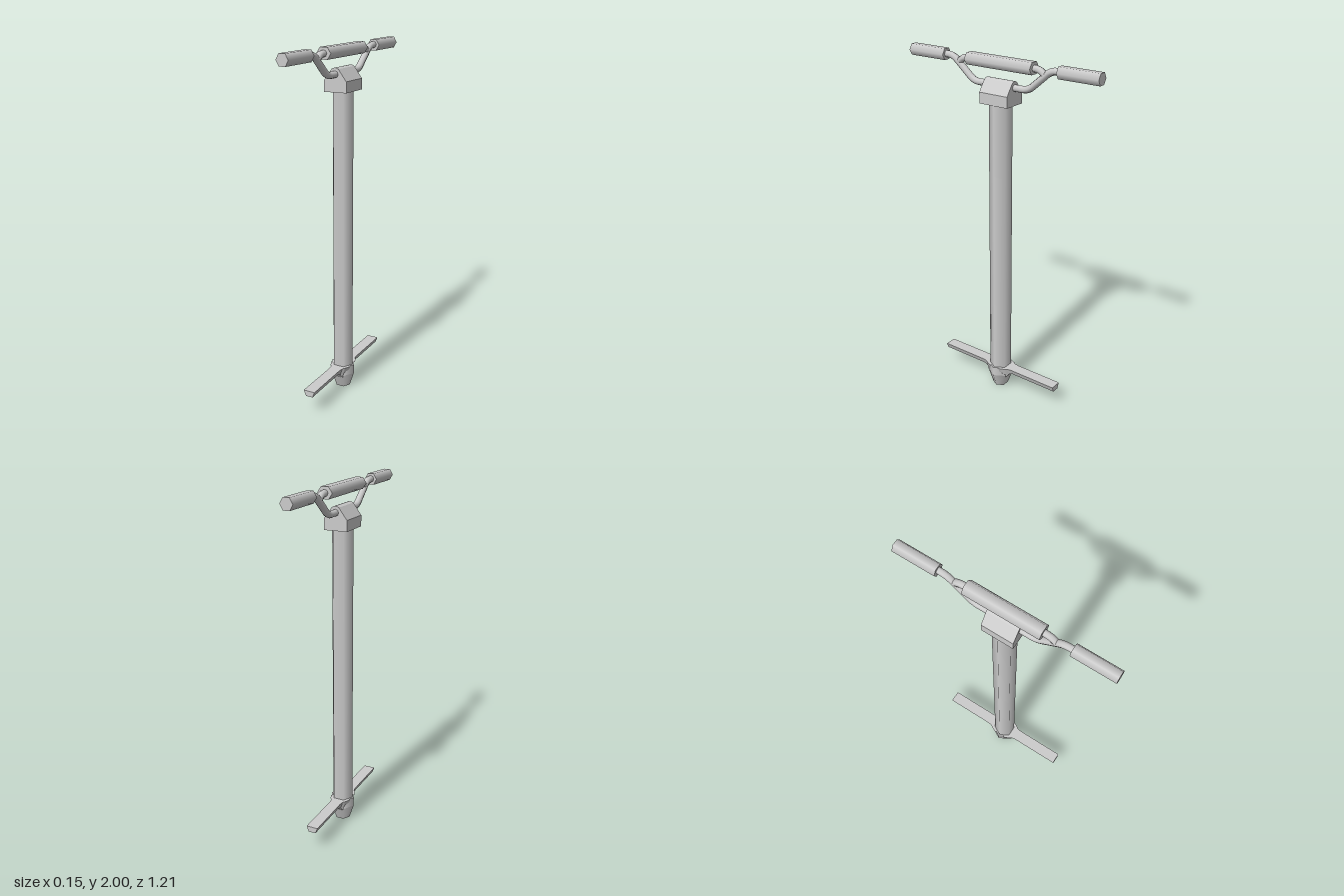
import * as THREE from 'three';

export function createModel() {
  const model = new THREE.Group();
  const material = new THREE.MeshStandardMaterial({ color: 0xcccccc });
  const flat = new THREE.MeshStandardMaterial({ color: 0xcccccc, flatShading: true });

  function add(name, geometry, mat = material) {
    const mesh = new THREE.Mesh(geometry, mat);
    mesh.name = name;
    model.add(mesh);
    return mesh;
  }

  // Six-sided prism with corners on +x and -x
  const hex = (top, bottom, height) =>
    new THREE.CylinderGeometry(top, bottom, height, 6, 1, false, Math.PI / 6);

  // Tube through [z, y] points with rounded corners
  function bentTube(points, radius, bend, segments) {
    const v = points.map(([z, y]) => new THREE.Vector3(0, y, z));
    const path = new THREE.CurvePath();
    let from = v[0];
    for (let i = 1; i < v.length - 1; i++) {
      const a = v[i].clone().add(v[i - 1].clone().sub(v[i]).setLength(bend));
      const b = v[i].clone().add(v[i + 1].clone().sub(v[i]).setLength(bend));
      path.add(new THREE.LineCurve3(from, a));
      path.add(new THREE.QuadraticBezierCurve3(a, v[i], b));
      from = b;
    }
    path.add(new THREE.LineCurve3(from, v[v.length - 1]));
    return new THREE.TubeGeometry(path, segments, radius, 8);
  }

  // Loft of trapezoid sections: [z, bottom y, top half width, bottom half width]
  function pegGeometry(sections, topY) {
    const positions = [], index = [];
    for (const [z, y, wt, wb] of sections) {
      positions.push(wt, topY, z, -wt, topY, z, -wb, y, z, wb, y, z);
    }
    for (let i = 0; i < sections.length - 1; i++) {
      for (let j = 0; j < 4; j++) {
        const a = i * 4 + j, b = i * 4 + (j + 1) % 4;
        index.push(a, b, b + 4, a, b + 4, a + 4);
      }
    }
    const e = (sections.length - 1) * 4;
    index.push(e, e + 1, e + 2, e, e + 2, e + 3);
    const g = new THREE.BufferGeometry();
    g.setAttribute('position', new THREE.Float32BufferAttribute(positions, 3));
    g.setIndex(index);
    g.computeVertexNormals();
    return g;
  }

  // Shaft
  add('shaft', hex(0.063, 0.063, 1.66)).position.y = 0.94;

  // Tapered foot and its collar
  add('foot', hex(0.073, 0.045, 0.085)).position.y = 0.0425;
  add('footCollar', hex(0.073, 0.073, 0.055)).position.y = 0.1115;

  // Foot pegs, flaring into the collar
  const peg = pegGeometry([
    [0.03, 0.05, 0.065, 0.03], [0.068, 0.078, 0.048, 0.03], [0.08, 0.097, 0.038, 0.024],
    [0.105, 0.106, 0.034, 0.021], [0.4, 0.106, 0.034, 0.021],
  ], 0.139);
  add('frontPeg', peg, flat);
  add('backPeg', peg, flat).rotation.y = Math.PI;

  // Clamp with sloping shoulders and a rounded ridge
  const profile = new THREE.Shape();
  profile.moveTo(-0.067, 1.755);
  profile.lineTo(0.067, 1.755);
  profile.lineTo(0.067, 1.815);
  profile.lineTo(0.02, 1.878);
  profile.quadraticCurveTo(0, 1.892, -0.02, 1.878);
  profile.lineTo(-0.067, 1.815);
  const clamp = new THREE.ExtrudeGeometry(profile, { depth: 0.18, bevelEnabled: false, curveSegments: 4 });
  clamp.translate(0, 0, -0.09);
  add('clamp', clamp);

  // Handlebar and crossbar
  add('handlebar', bentTube([
    [-0.4, 1.97], [-0.315, 1.97], [-0.175, 1.85], [0.175, 1.85], [0.315, 1.97], [0.4, 1.97],
  ], 0.019, 0.035, 80));
  add('crossbar', bentTube([
    [-0.28, 1.937], [-0.245, 1.967], [0.245, 1.967], [0.28, 1.937],
  ], 0.019, 0.025, 60));

  // Crossbar pad
  const pad = hex(0.0425, 0.0425, 0.42).rotateX(Math.PI / 2).scale(1, 0.86, 1);
  add('crossbarPad', pad).position.y = 1.968;

  // Grips
  for (const side of [1, -1]) {
    const grip = hex(0.0355, 0.0355, 0.24).rotateX(Math.PI / 2);
    add(side > 0 ? 'frontGrip' : 'backGrip', grip).position.set(0, 1.969, side * 0.483);
  }

  return model;
}
